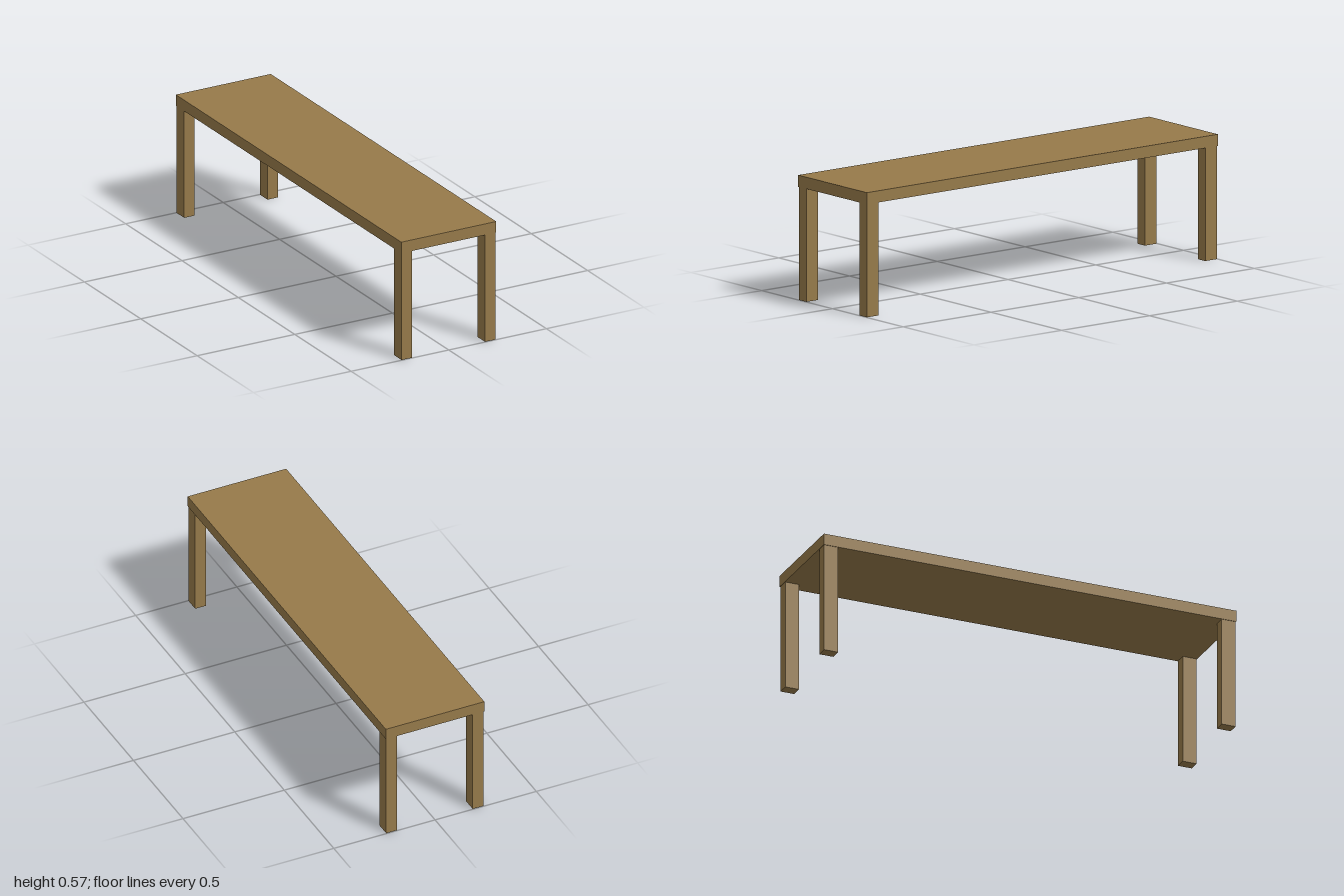
import * as THREE from 'three';

export function createModel() {
  const wood = new THREE.MeshStandardMaterial({ color: 0x967a4a });
  wood.name = 'wood';
  const bench = new THREE.Group();
  bench.name = 'bench';

  const addBox = (name, size, position) => {
    const mesh = new THREE.Mesh(new THREE.BoxGeometry(...size), wood);
    mesh.name = name;
    mesh.position.set(...position);
    bench.add(mesh);
  };

  // Long flat seat board
  const height = 0.566, thickness = 0.053, legHeight = height - thickness;
  addBox('seat', [0.486, thickness, 2], [0, height - thickness / 2, 0]);

  // Four square-cut legs, set just inside the corners
  for (const [end, sz] of [['front', 1], ['back', -1]]) {
    for (const [side, sx] of [['Left', 1], ['Right', -1]]) {
      addBox(`${end}${side}Leg`, [0.053, legHeight, 0.067],
        [sx * 0.2135, legHeight / 2, sz * 0.964]);
    }
  }
  return bench;
}
